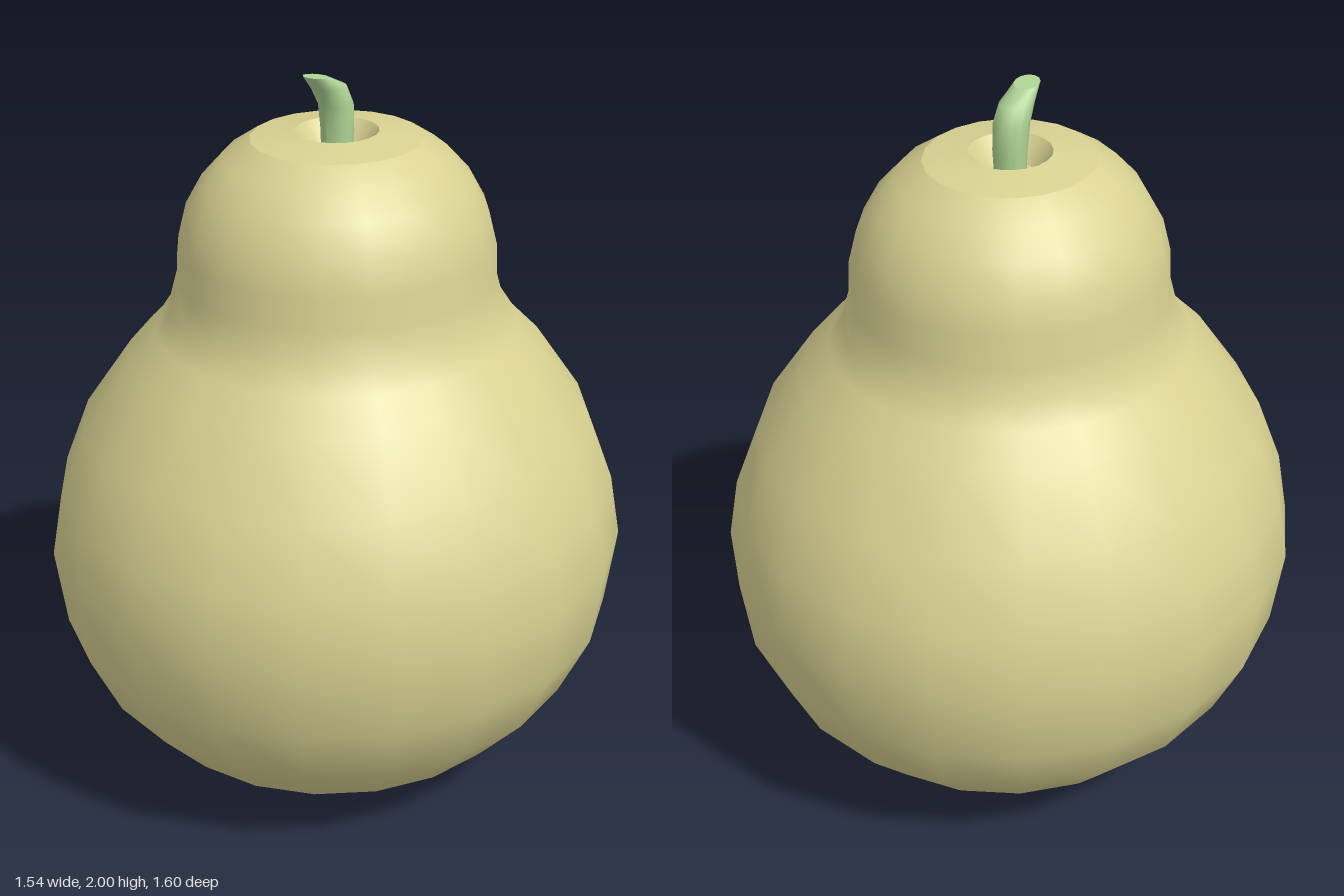
import * as THREE from 'three';

const SIDES = 20;
const skin = new THREE.MeshStandardMaterial({ color: 0xd9d292 });
const green = new THREE.MeshStandardMaterial({ color: 0xafd494 });

// One smooth band of the fruit, from [radius, height] pairs running outside-up.
function band(name, profile) {
  const points = profile.map(([r, y]) => new THREE.Vector2(r, y));
  const mesh = new THREE.Mesh(new THREE.LatheGeometry(points, SIDES), skin);
  mesh.name = name;
  return mesh;
}

// Curved stem: a cylinder whose rings are shifted forward and resized.
function stem() {
  const rings = [ // y, z, radius x, radius z
    [1.75, 0, 0.04, 0.04],
    [1.84, -0.002, 0.045, 0.043],
    [1.91, 0.004, 0.047, 0.046],
    [1.96, 0.031, 0.043, 0.05],
    [1.995, 0.078, 0.033, 0.036],
  ];
  const geometry = new THREE.CylinderGeometry(1, 1, rings.length - 1, 12, rings.length - 1);
  const p = geometry.attributes.position;
  for (let i = 0; i < p.count; i++) {
    const k = Math.round(p.getY(i) + (rings.length - 1) / 2);
    const [y, z, rx, rz] = rings[k];
    const tilt = k === rings.length - 1 ? 0.005 * p.getZ(i) : 0;
    p.setXYZ(i, p.getX(i) * rx, y + tilt, z + p.getZ(i) * rz);
  }
  geometry.computeVertexNormals();
  const mesh = new THREE.Mesh(geometry, green);
  mesh.name = 'stem';
  return mesh;
}

export function createModel() {
  const model = new THREE.Group();
  model.name = 'pear';

  // Fruit, slightly narrower from side to side; bands meet at hard edges
  const fruit = new THREE.Group();
  fruit.name = 'fruit';
  fruit.scale.x = 0.965;
  fruit.add(
    band('bottomDimple', [[0, 0.05], [0.05, 0.04], [0.1, 0]]),
    band('body', [
      [0.1, 0], [0.36, 0.05], [0.54, 0.155], [0.685, 0.31], [0.77, 0.485],
      [0.8, 0.7], [0.77, 0.87], [0.7, 1.05], [0.57, 1.235], [0.495, 1.31],
      [0.455, 1.37], [0.432, 1.455], [0.428, 1.54], [0.405, 1.63],
      [0.36, 1.71], [0.3, 1.775], [0.23, 1.82],
    ]),
    band('topRim', [[0.23, 1.82], [0.112, 1.838]]),
    band('topDimple', [[0.112, 1.838], [0.065, 1.775]]),
    band('dimpleFloor', [[0.065, 1.775], [0, 1.765]]),
  );

  model.add(fruit, stem());
  return model;
}
